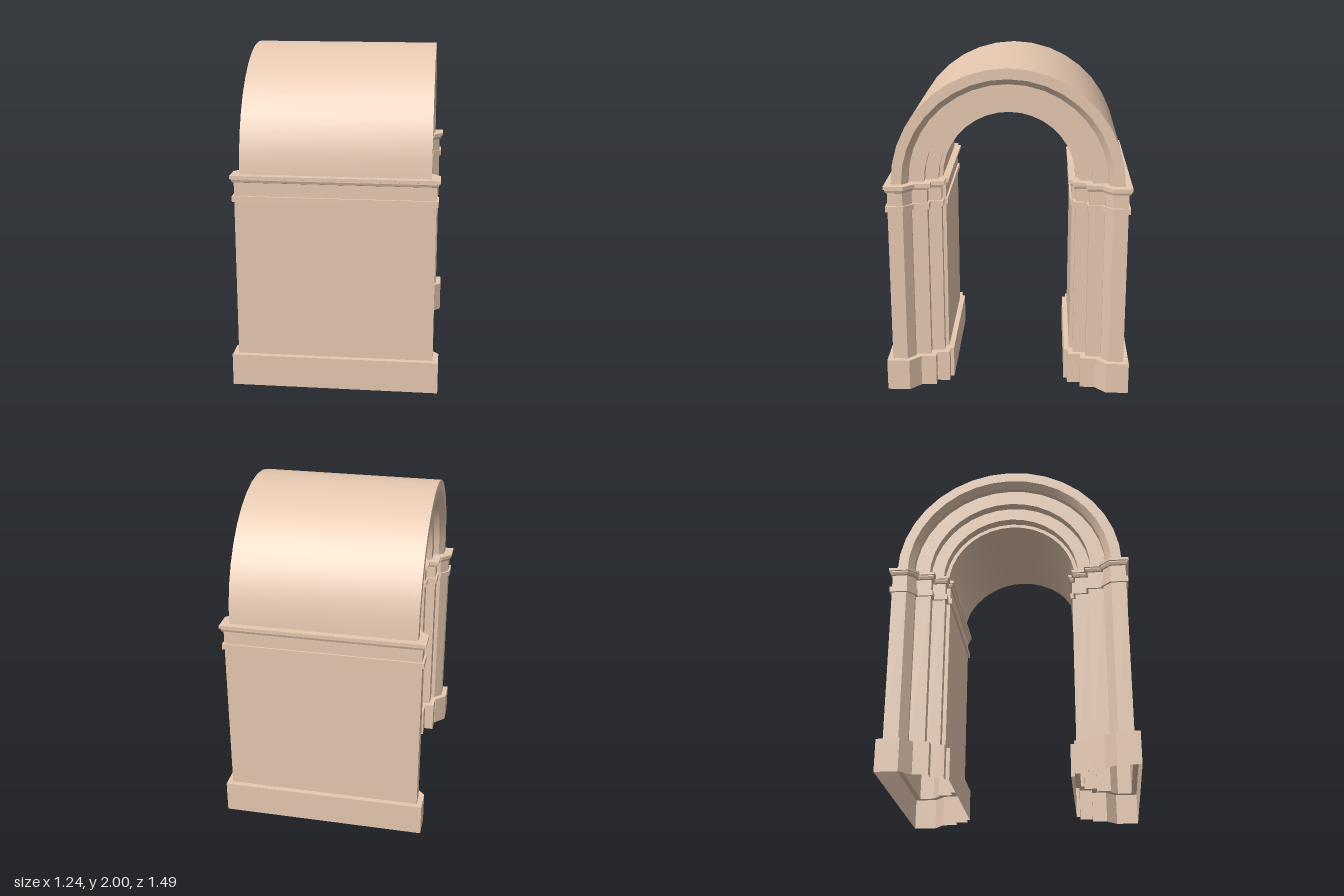
import * as THREE from 'three';
import { toCreasedNormals } from 'three/addons/utils/BufferGeometryUtils.js';

const SPRING = 1.309; // height where the arch springs from the piers

// Plan of the stepped pier, right half [x, z]: outer block, chamfer, two recessed orders, inner wall
const HALF = [
  [0.587, 0.711], [0.587, 0.621], [0.541, 0.575], [0.517, 0.575], [0.517, 0.482],
  [0.457, 0.482], [0.457, 0.403], [0.397, 0.403], [0.397, 0.381],
];
const PLAN = [...HALF, ...HALF.map(([x, z]) => [-x, z]).reverse()];

// Plan grown outward by o with mitred corners
function section(o) {
  const n = PLAN.length;
  const normal = (i) => {
    const a = PLAN[i % n], b = PLAN[(i + 1) % n];
    const dx = b[0] - a[0], dz = b[1] - a[1], l = Math.hypot(dx, dz);
    return [-dz / l, dx / l];
  };
  return PLAN.map(([x, z], i) => {
    const p = normal(i + n - 1), q = normal(i);
    const k = o / (1 + p[0] * q[0] + p[1] * q[1]);
    return [x + (p[0] + q[0]) * k, z + (p[1] + q[1]) * k];
  });
}

// Arch section: slightly thinner than the shaft, its end faces set back a little more
const ARCH = section(-0.02).map(([x, z]) => [x - Math.sign(x) * 0.01, z]);

const ringAt = (y, outline) => outline.map(([x, z]) => [x, y, z]);

// Skin a series of closed rings, leaving the ends open
function loft(rings) {
  const pos = [];
  for (let r = 0; r < rings.length - 1; r++) {
    const lo = rings[r], hi = rings[r + 1], n = lo.length;
    for (let i = 0; i < n; i++) {
      const j = (i + 1) % n;
      pos.push(...lo[i], ...lo[j], ...hi[j], ...lo[i], ...hi[j], ...hi[i]);
    }
  }
  const g = new THREE.BufferGeometry();
  g.setAttribute('position', new THREE.Float32BufferAttribute(pos, 3));
  return toCreasedNormals(g, 0.2);
}

export function createModel() {
  const group = new THREE.Group();
  group.name = 'archway';
  const stone = new THREE.MeshStandardMaterial({ color: 0xe6c8b0, side: THREE.DoubleSide });
  const add = (name, geometry, parent) => {
    const mesh = new THREE.Mesh(geometry, stone);
    mesh.name = name;
    parent.add(mesh);
  };

  // Pier parts as [height, outward offset] steps
  const parts = {
    plinth: [[0, 0.033], [0.195, 0.033], [0.195, 0]],
    shaft: [[0.195, 0], [1.15, 0]],
    neckBand: [[1.15, 0], [1.15, 0.012], [1.185, 0.012], [1.185, 0]],
    frieze: [[1.185, 0], [1.265, 0]],
    cornice: [[1.265, 0], [1.268, 0.008], [1.283, 0.014], [1.29, 0.014],
      [1.292, 0.021], [SPRING, 0.021]],
  };
  for (const [name, turn] of [['frontPier', 0], ['backPier', Math.PI]]) {
    const pier = new THREE.Group();
    pier.name = name;
    pier.rotation.y = turn;
    for (const [part, steps] of Object.entries(parts)) {
      add(part, loft(steps.map(([y, o]) => ringAt(y, section(o)))), pier);
    }
    // Ledge between the cornice edge and the foot of the arch
    add('corniceLedge', loft([ringAt(SPRING, section(0.021)), ringAt(SPRING, ARCH)]), pier);
    group.add(pier);
  }

  // Barrel arch: the pier plan swept in a half circle from pier to pier
  const SEGMENTS = 18, rings = [];
  for (let s = 0; s <= SEGMENTS; s++) {
    const a = (Math.PI * s) / SEGMENTS;
    rings.push(ARCH.map(([x, r]) => [x, SPRING + r * Math.sin(a), r * Math.cos(a)]));
  }
  add('barrelArch', loft(rings), group);

  return group;
}
